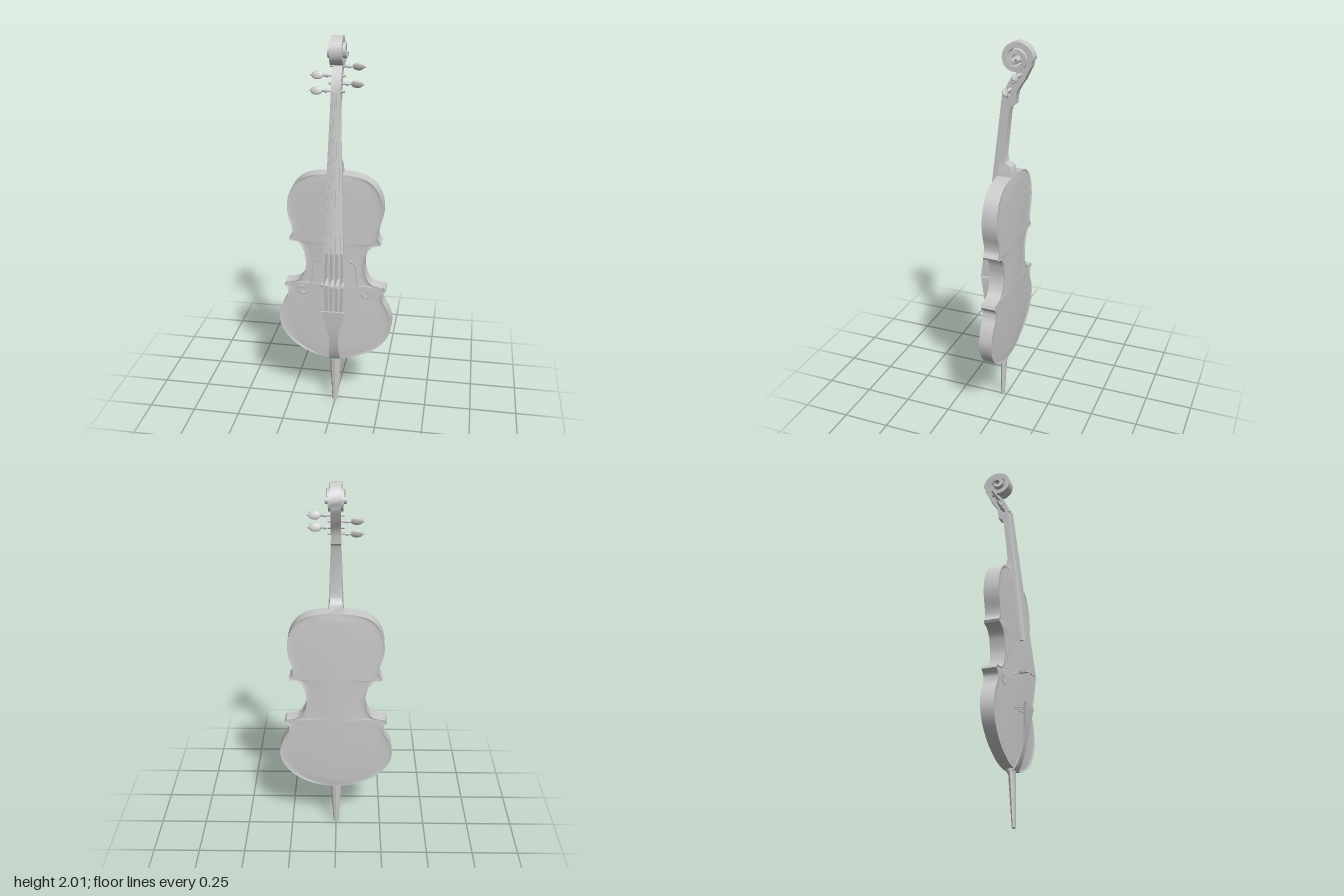
import * as THREE from 'three';
import { toCreasedNormals } from 'three/addons/utils/BufferGeometryUtils.js';

const mat = new THREE.MeshStandardMaterial({ color: 0xcccccc });
const matDouble = new THREE.MeshStandardMaterial({ color: 0xcccccc, side: THREE.DoubleSide });
const Y0 = 0.278, Y1 = 1.337;

function add(parent, name, geo, material = mat) {
  const m = new THREE.Mesh(geo, material);
  m.name = name;
  parent.add(m);
  return m;
}

function indexed(pts, idx) {
  const g = new THREE.BufferGeometry();
  g.setAttribute('position', new THREE.Float32BufferAttribute(pts.flat(), 3));
  g.setIndex(idx);
  g.computeVertexNormals();
  return g;
}

// Skin a list of equal-length closed rings, capped at both ends
function loft(rings, crease = 0.6) {
  const n = rings[0].length, idx = [], last = (rings.length - 1) * n;
  for (let i = 0; i < rings.length - 1; i++)
    for (let j = 0; j < n; j++) {
      const a = i * n + j, b = i * n + (j + 1) % n;
      idx.push(a, a + n, b, b, a + n, b + n);
    }
  for (let j = 1; j < n - 1; j++) idx.push(0, j, j + 1, last, last + j + 1, last + j);
  return toCreasedNormals(indexed(rings.flat(), idx), crease);
}

// Rectangular cross-section at height y, from zf (front) to zb (back)
const quad = (y, zf, zb, w, x = 0) => [[x + w, y, zf], [x - w, y, zf], [x - w, y, zb], [x + w, y, zb]];

// Half outline of the body: lower bout, waist, upper bout, with sharp corners between
function halfOutline() {
  const runs = [
    [[0, Y0], [0.06, 0.281], [0.13, 0.3], [0.225, 0.355], [0.285, 0.43], [0.304, 0.505], [0.286, 0.585], [0.256, 0.64], [0.251, 0.678], [0.272, 0.705]],
    [[0.264, 0.722], [0.232, 0.725], [0.195, 0.737], [0.166, 0.775], [0.153, 0.835], [0.157, 0.88], [0.168, 0.92], [0.185, 0.944], [0.208, 0.957], [0.235, 0.962]],
    [[0.241, 0.975], [0.224, 1.0], [0.225, 1.04], [0.242, 1.1], [0.248, 1.15], [0.237, 1.22], [0.205, 1.278], [0.16, 1.313], [0.1, 1.331], [0.045, 1.336], [0, Y1]],
  ];
  return runs.flatMap(r => new THREE.CatmullRomCurve3(r.map(p => new THREE.Vector3(p[0], p[1], 0)))
    .getPoints(36).map(p => [Math.max(p.x, 0), p.y]));
}

const FRONT = 0.033;
const backZ = y => -0.048 + 0.0253 * (y - 1.05) ** 2 / 0.593;

function buildBody(parent) {
  const body = new THREE.Group();
  body.name = 'body';
  parent.add(body);
  const half = halfOutline();
  // plates: spanned across the outline, a raised rim, a shallow groove and a low arch
  const across = [[-1, 0], [-0.965, 0], [-0.945, -1], [-0.8, -0.6], [-0.4, 0.4], [0, 0.7],
    [0.4, 0.4], [0.8, -0.6], [0.945, -1], [0.965, 0], [1, 0]];
  const plate = (edge, sign, height) => {
    const n = across.length, pts = [], idx = [];
    half.forEach(([x, y], i) => {
      const fade = Math.max(0, Math.min(1, (y - Y0) / 0.03 - 0.3, (Y1 - y) / 0.03 - 0.3));
      across.forEach(([s, h], j) => {
        pts.push([x * s, y, edge(y) + sign * h * height * fade]);
        if (i && j) {
          const d = i * n + j, c = d - 1, b = d - n, a = b - 1;
          if (sign > 0) idx.push(a, b, d, a, d, c);
          else idx.push(a, d, b, a, c, d);
        }
      });
    });
    return indexed(pts, idx);
  };
  add(body, 'frontPlate', plate(() => FRONT, 1, 0.005), matDouble);
  add(body, 'backPlate', plate(backZ, -1, 0.005), matDouble);
  // ribs around the whole outline
  const loop = [...half, ...half.slice(1, -1).reverse().map(([x, y]) => [-x, y])];
  const pts = loop.flatMap(([x, y]) => [[x, y, FRONT], [x, y, backZ(y)]]);
  const idx = loop.flatMap((_, i) => {
    const a = i * 2, b = ((i + 1) % loop.length) * 2;
    return [a, a + 1, b, b, a + 1, b + 1];
  });
  add(body, 'ribs', toCreasedNormals(indexed(pts, idx), 0.6), matDouble);

  // S-shaped sound holes
  for (const side of [1, -1]) {
    const path = new THREE.CatmullRomCurve3([[0.082, 0.835], [0.068, 0.838], [0.07, 0.853], [0.09, 0.86], [0.109, 0.842],
      [0.114, 0.79], [0.124, 0.73], [0.14, 0.68], [0.165, 0.66], [0.19, 0.675], [0.188, 0.7], [0.17, 0.697]]
      .map(([x, y]) => new THREE.Vector3(side * x, y, 0)));
    const f = add(body, 'soundHole', new THREE.TubeGeometry(path, 70, 0.0055, 6));
    f.scale.z = 0.4;
    f.position.z = 0.032;
  }
}

// Pegbox running into a two-turn spiral that widens toward its eye
function scrollGeometry() {
  const ring = (zi, yi, zo, yo, w) => [[w, yi, zi], [-w, yi, zi], [-w, yo, zo], [w, yo, zo]];
  const rings = [
    [0.008, 1.715, -0.053, 1.705, 0.024], [0.003, 1.75, -0.056, 1.74, 0.024], [-0.006, 1.785, -0.062, 1.77, 0.024],
    [-0.026, 1.825, -0.08, 1.8, 0.024], [-0.048, 1.853, -0.1, 1.828, 0.023],
  ].map(r => ring(...r));
  const steps = 72, cz = -0.058, cy = 1.927;
  for (let i = 0; i <= steps; i++) {
    const t = i / steps, a = -0.75 + t * Math.PI * 4.4;
    const r = i < 4 ? 0.084 - i * 0.002 : 0.077 * (1 - t) ** 0.85 + 0.012;
    const inner = Math.max(0.001, r - 0.03 + 0.012 * t);
    const w = 0.024 + 0.03 * t ** 1.2;
    rings.push(ring(cz - inner * Math.cos(a), cy + inner * Math.sin(a), cz - r * Math.cos(a), cy + r * Math.sin(a), w));
  }
  return loft(rings, 0.7);
}

function buildPeg(parent, side, y, z) {
  const peg = new THREE.Group();
  peg.name = 'peg';
  parent.add(peg);
  const shaft = add(peg, 'pegShaft', new THREE.LatheGeometry(
    [[0, -0.04], [0.007, -0.04], [0.007, 0.045], [0.012, 0.052], [0.006, 0.06], [0.006, 0.08]]
      .map(([r, h]) => new THREE.Vector2(r, h)), 12), matDouble);
  shaft.rotation.z = -Math.PI / 2;
  const head = add(peg, 'pegHead', new THREE.SphereGeometry(1, 16, 12));
  head.scale.set(0.03, 0.021, 0.009);
  head.position.x = 0.098;
  head.rotation.x = 0.35;
  add(peg, 'pegTip', new THREE.SphereGeometry(0.006, 8, 6)).position.x = 0.128;
  peg.position.set(0, y, z);
  if (side < 0) peg.rotation.y = Math.PI;
}

function buildBridge(parent) {
  const s = new THREE.Shape();
  s.moveTo(-0.052, 0.028);
  s.lineTo(-0.025, 0.028);
  s.quadraticCurveTo(0, 0.075, 0.025, 0.028);
  s.lineTo(0.052, 0.028);
  s.quadraticCurveTo(0.038, 0.06, 0.058, 0.085);
  s.lineTo(0.062, 0.115);
  s.quadraticCurveTo(0, 0.148, -0.062, 0.115);
  s.lineTo(-0.058, 0.085);
  s.quadraticCurveTo(-0.038, 0.06, -0.052, 0.028);
  const g = new THREE.ExtrudeGeometry(s, { depth: 0.012, bevelEnabled: false, curveSegments: 10 });
  g.rotateX(Math.PI / 2);
  add(parent, 'bridge', g).position.y = 0.761;
}

export function createModel() {
  const model = new THREE.Group();
  model.name = 'cello';
  buildBody(model);

  add(model, 'neck', loft([quad(1.32, 0.05, -0.043, 0.04), quad(1.378, 0.043, -0.038, 0.034), quad(1.392, 0.041, -0.03, 0.031),
    quad(1.405, 0.04, -0.004, 0.029), quad(1.43, 0.036, 0.002, 0.029), quad(1.66, 0.01, -0.022, 0.024), quad(1.69, 0.006, -0.03, 0.024),
    quad(1.705, 0.006, -0.05, 0.024), quad(1.73, 0.004, -0.053, 0.024)]));

  // fingerboard with a gently arched front
  const board = (y, zf, zb, w) => [[w, y, zf - 0.2 * w], [w * 0.5, y, zf - 0.05 * w], [-w * 0.5, y, zf - 0.05 * w],
    [-w, y, zf - 0.2 * w], [-w, y, zb], [w, y, zb]];
  add(model, 'fingerboard', loft([board(0.93, 0.102, 0.078, 0.053), board(1.3, 0.058, 0.036, 0.04), board(1.735, 0.009, -0.006, 0.024)]));
  add(model, 'nut', loft([quad(1.735, 0.014, -0.01, 0.024), quad(1.748, 0.012, -0.01, 0.023)]));

  add(model, 'pegboxAndScroll', scrollGeometry());
  [[1, 1.855, -0.082], [-1, 1.815, -0.048], [1, 1.78, -0.033], [-1, 1.745, -0.022]].forEach(p => buildPeg(model, ...p));

  buildBridge(model);
  add(model, 'tailpiece', loft([[0.272, 0.036, 0.02, 0.03], [0.3, 0.053, 0.04, 0.028], [0.36, 0.073, 0.062, 0.024], [0.43, 0.087, 0.077, 0.024],
    [0.48, 0.095, 0.085, 0.032], [0.54, 0.102, 0.092, 0.049], [0.597, 0.108, 0.098, 0.064]].map(r => quad(...r))));

  // strings: slim over the fingerboard, deep blades around the bridge
  for (const k of [-1.5, -0.5, 0.5, 1.5]) {
    const drop = Math.abs(k) > 1 ? 0.005 : 0;
    add(model, 'string', loft([quad(0.92, 0.114 - drop, 0.109 - drop, 0.0022, 0.026 * k), quad(1.745, 0.016, 0.011, 0.002, 0.011 * k)]));
    add(model, 'stringBlade', loft([quad(0.575, 0.108, 0.031, 0.002, 0.025 * k), quad(0.755, 0.133 - drop, 0.031, 0.002, 0.029 * k),
      quad(0.93, 0.113 - drop, 0.031, 0.002, 0.026 * k)]));
  }

  // tapered end pin under the body
  const pin = add(model, 'endPin', new THREE.CylinderGeometry(0.031, 0.015, 0.28, 8).toNonIndexed());
  pin.geometry.computeVertexNormals();
  pin.scale.z = 0.6;
  pin.position.set(0, 0.14, 0.018);
  pin.rotation.x = -0.03;
  const collar = add(model, 'endPinCollar', new THREE.CylinderGeometry(0.036, 0.034, 0.022, 16));
  collar.scale.z = 0.6;
  collar.position.set(0, 0.273, 0.012);
  return model;
}
